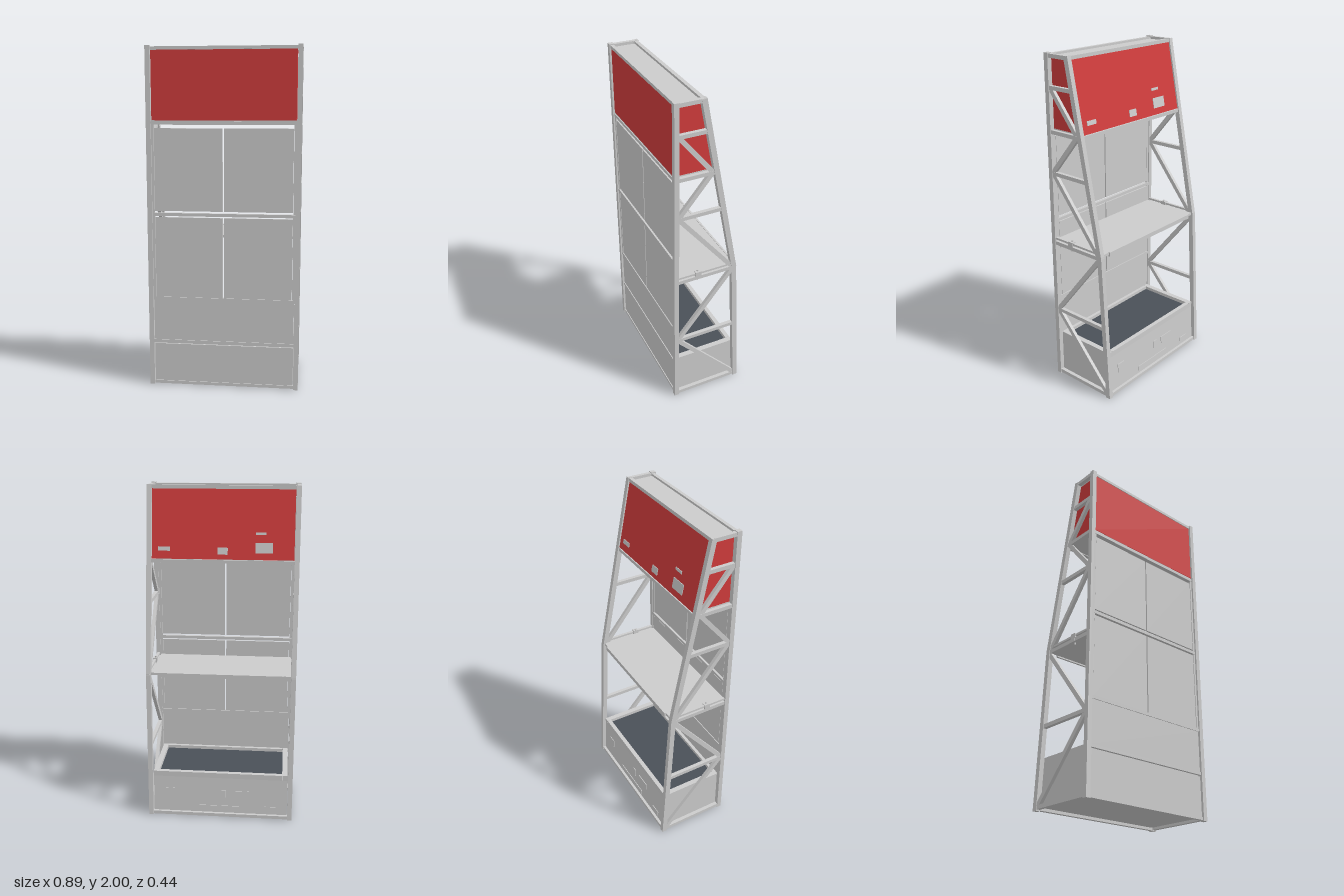
import * as THREE from 'three';

const grey = new THREE.MeshStandardMaterial({ color: 0xcccccc });
const red = new THREE.MeshStandardMaterial({ color: 0xd03c3c });
const dark = new THREE.MeshStandardMaterial({ color: 0x4a5058 });

// Centre line of the sloping rear legs: z at height y
const rearZ = (y) => (y < 0.91 ? -0.207 + (y / 0.91) * 0.052 : -0.155 + ((y - 0.91) / 1.09) * 0.217);
const FRONT = 0.208;

export function createModel() {
  const root = new THREE.Group();

  const add = (parent, name, geo, mat = grey) => {
    const m = new THREE.Mesh(geo, mat);
    m.name = name;
    parent.add(m);
    return m;
  };
  // Axis-aligned box given by its limits
  const box = (name, x0, x1, y0, y1, z0, z1, mat, parent = root) => {
    const m = add(parent, name, new THREE.BoxGeometry(x1 - x0, y1 - y0, z1 - z0), mat);
    m.position.set((x0 + x1) / 2, (y0 + y1) / 2, (z0 + z1) / 2);
    return m;
  };
  // Square tube in a side plane, from (y, z) to (y, z)
  const bar = (parent, name, x, [y0, z0], [y1, z1], w, t) => {
    const m = add(parent, name, new THREE.BoxGeometry(w, Math.hypot(y1 - y0, z1 - z0), t));
    m.position.set(x, (y0 + y1) / 2, (z0 + z1) / 2);
    m.rotation.x = Math.atan2(z1 - z0, y1 - y0);
    return m;
  };
  // Side profile of (z, y) points extruded across the width
  const prism = (name, pts, width, mat) => {
    const s = new THREE.Shape(pts.map(([z, y]) => new THREE.Vector2(z, y)));
    const g = new THREE.ExtrudeGeometry(s, { depth: width, bevelEnabled: false });
    g.translate(0, 0, -width / 2).rotateY(-Math.PI / 2);
    return add(root, name, g, mat);
  };

  // Side trusses
  for (const side of [-1, 1]) {
    const truss = new THREE.Group();
    truss.name = side > 0 ? 'leftTruss' : 'rightTruss';
    root.add(truss);
    const x = side * 0.43;
    bar(truss, 'frontPost', x, [0, FRONT], [2, FRONT], 0.028, 0.028);
    bar(truss, 'rearLegLower', x, [0, rearZ(0)], [0.915, rearZ(0.915)], 0.028, 0.03);
    bar(truss, 'rearLegUpper', x, [0.905, rearZ(0.905)], [1.995, rearZ(1.995)], 0.028, 0.03);
    for (const y of [0.018, 0.46, 0.903, 1.33, 1.57, 1.815, 1.985])
      bar(truss, 'crossBar', x, [y, FRONT - 0.01], [y, rearZ(y)], 0.022, 0.022);
    const braces = [
      [[0.45, 0.19], [0.03, -0.188]],
      [[0.89, -0.145], [0.47, 0.19]],
      [[1.325, 0.19], [0.915, -0.14]],
      [[1.57, 0.0], [1.34, 0.19]],
      [[1.81, 0.19], [1.58, 0.005]],
    ];
    for (const [a, b] of braces) bar(truss, 'brace', x, a, b, 0.02, 0.026);

    // Shelf rail with its clamp
    box('shelfRail', x - 0.008, x + 0.008, 0.924, 0.936, -0.13, 0.195, grey, truss);
    box('clampBlock', x - 0.012, x + 0.012, 0.895, 0.942, 0.055, 0.09, grey, truss);
    const pin = add(truss, 'clampPin', new THREE.CylinderGeometry(0.006, 0.006, 0.07, 12));
    pin.position.set(x - side * 0.005, 0.915, 0.072);
  }

  // Cross members along the front and rear
  for (const y of [0.014, 0.272, 0.536, 1.04, 1.567, 1.985])
    box('frontRail', -0.417, 0.417, y - 0.009, y + 0.009, 0.195, 0.215);
  for (const y of [0.014, 1.57, 1.985])
    box('rearRail', -0.417, 0.417, y - 0.01, y + 0.01, rearZ(y) - 0.01, rearZ(y) + 0.012);

  // Four front panels, two by two
  for (const y of [0.545, 1.06])
    for (const x of [-0.4, 0.004])
      box('frontPanel', x, x + 0.396, y, y + 0.478, 0.2, 0.21);
  for (const s of [-1, 1]) box('panelEdge', s * 0.41 - 0.008, s * 0.41 + 0.008, 0.54, 1.56, 0.2, 0.212);
  box('lowerPanel', -0.414, 0.414, 0.28, 0.53, 0.2, 0.21);

  // Base cabinet with a dark recessed top
  prism('baseCabinet', [[0.21, 0.02], [0.21, 0.255], [-0.185, 0.255], [-0.2, 0.02]], 0.826);
  box('baseTop', -0.38, 0.38, 0.255, 0.268, -0.16, 0.18, dark);
  for (const s of [-1, 1]) box('baseRimSide', s * 0.397 - 0.016, s * 0.397 + 0.016, 0.255, 0.288, -0.188, 0.2);
  box('baseRimRear', -0.38, 0.38, 0.255, 0.288, -0.188, -0.162);
  box('baseRimFront', -0.38, 0.38, 0.255, 0.288, 0.18, 0.2);

  // Middle shelf
  box('shelf', -0.414, 0.414, 0.908, 0.923, -0.16, 0.2);
  box('shelfRearEdge', -0.37, 0.37, 0.9, 0.926, -0.17, -0.158);

  // Red header cabinet between grey top and bottom trays
  const backTop = rearZ(1.975), backLow = rearZ(1.58);
  prism('headerCabinet', [[0.212, 1.583], [0.212, 1.975], [backTop - 0.008, 1.975], [backLow - 0.008, 1.583]], 0.826, red);
  box('headerTop', -0.414, 0.414, 1.974, 1.982, backTop, 0.21);
  box('headerBottom', -0.414, 0.414, 1.565, 1.584, backLow, 0.21);

  // Small plates on a rear face: x, y, width, height
  const plates = (name, list, tilt, zAt) => {
    for (const [x, y, w, h] of list) {
      const m = add(root, name, new THREE.BoxGeometry(w, h, 0.006));
      m.position.set(x, y, zAt(y));
      m.rotation.x = tilt;
    }
  };
  plates('headerPlate', [[-0.24, 1.65, 0.1, 0.06], [0, 1.63, 0.06, 0.04], [0.34, 1.64, 0.07, 0.025], [-0.22, 1.73, 0.06, 0.015]],
    Math.atan2(0.217, 1.09), (y) => rearZ(y) - 0.009);
  plates('basePlate', [[0.31, 0.15, 0.055, 0.055], [-0.02, 0.15, 0.03, 0.05], [-0.13, 0.15, 0.1, 0.045], [0.01, 0.055, 0.28, 0.03], [-0.31, 0.06, 0.07, 0.03]],
    Math.atan2(0.015, 0.235), (y) => -0.2 + ((y - 0.02) / 0.235) * 0.015 - 0.001);

  return root;
}
